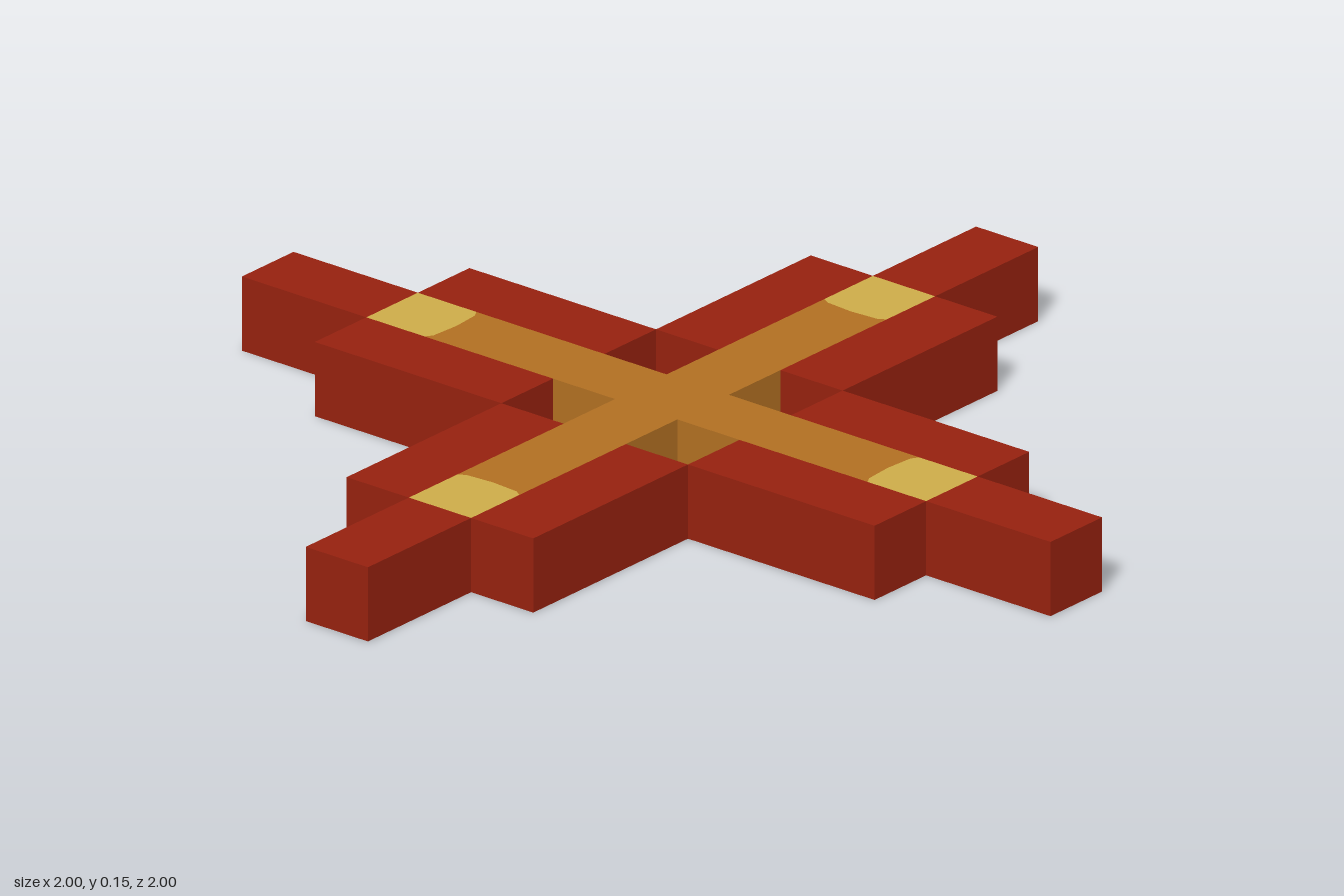
import * as THREE from 'three';

const U = 2 / 13; // one grid cell; the cross is 13 cells wide and 1 cell thick

const red = new THREE.MeshStandardMaterial({ color: 0x96210f });
red.name = 'brick red';
const amber = new THREE.MeshStandardMaterial({ color: 0xb27022 });
amber.name = 'amber';
const gold = new THREE.MeshStandardMaterial({ color: 0xcdac49 });
gold.name = 'pale gold';

// Upright prism from a plan outline of [x, z] points in cells
function prism(name, material, points) {
  const shape = new THREE.Shape(points.map(([x, z]) => new THREE.Vector2(x * U, -z * U)));
  const geometry = new THREE.ExtrudeGeometry(shape, { depth: U, bevelEnabled: false });
  geometry.rotateX(-Math.PI / 2);
  const mesh = new THREE.Mesh(geometry, material);
  mesh.name = name;
  return mesh;
}

const rect = (x0, x1, z0, z1) => [[x0, z0], [x1, z0], [x1, z1], [x0, z1]];

function createArm() {
  const arm = new THREE.Group();
  // Slightly rounded joint between the amber bar and its gold end
  const joint = [[-0.5, 3.56], [-0.4, 3.5], [0, 3.47], [0.4, 3.5], [0.5, 3.56]];
  arm.add(
    prism('armBar', amber, [[0.5, 0.5], [-0.5, 0.5], ...joint]),
    prism('armEnd', gold, [...joint, [0.5, 4.5], [-0.5, 4.5]]),
    prism('armTip', red, rect(-0.5, 0.5, 4.5, 6.5)),
  );
  // Side blocks flanking the bar
  for (const s of [-1, 1]) {
    arm.add(prism(s > 0 ? 'leftGuard' : 'rightGuard', red, rect(s * 0.5, s * 1.5, 1.5, 4.5)));
  }
  return arm;
}

export function createModel() {
  const model = new THREE.Group();
  model.name = 'crossBlade';
  model.add(prism('hub', amber, rect(-0.5, 0.5, -0.5, 0.5)));
  ['frontArm', 'leftArm', 'backArm', 'rightArm'].forEach((name, i) => {
    const arm = createArm();
    arm.name = name;
    arm.rotation.y = (i * Math.PI) / 2;
    model.add(arm);
  });
  return model;
}
